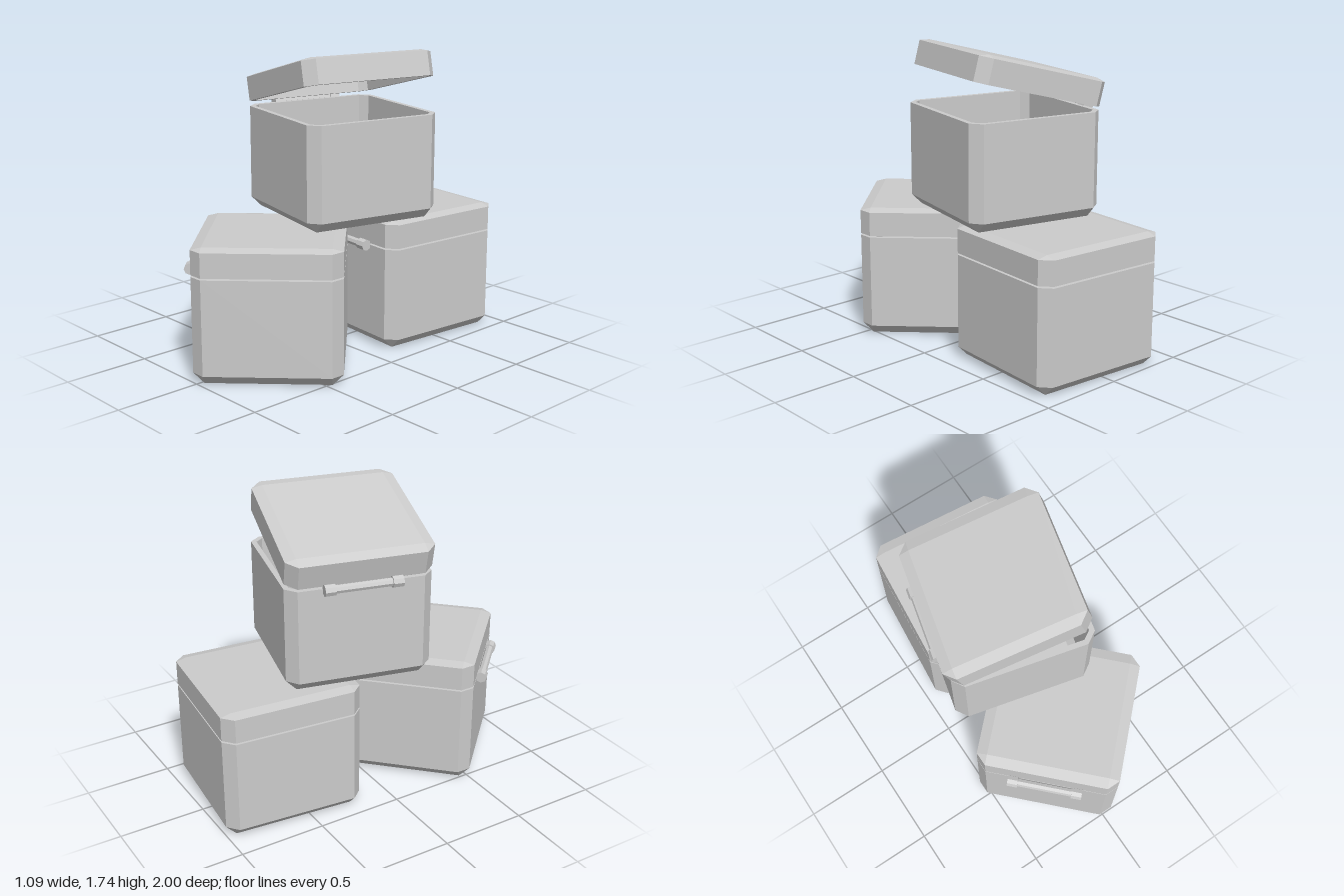
import * as THREE from 'three';

const HW = 0.415, HD = 0.41;            // half width along the hinge, half depth
const HINGE_Y = 0.605, HINGE_Z = 0.435; // hinge axis

const material = new THREE.MeshStandardMaterial({ color: 0xcccccc, flatShading: true });

// Rectangle with cut corners, as eight points
function octagon([inset, cut, y]) {
  const w = HW - inset, d = HD - inset;
  return [
    [w, -d + cut], [w, d - cut], [w - cut, d], [-w + cut, d],
    [-w, d - cut], [-w, -d + cut], [-w + cut, -d], [w - cut, -d],
  ].map(([x, z]) => new THREE.Vector3(x, y, z));
}

// Skin over a series of [inset, corner cut, height] sections, capped at both ends
function shell(sections) {
  const rings = sections.map(octagon);
  const positions = [];
  const tri = (a, b, c) => {
    if (new THREE.Triangle(a, b, c).getArea() < 1e-7) return;
    for (const p of [a, b, c]) positions.push(p.x, p.y, p.z);
  };
  for (let r = 0; r < rings.length - 1; r++) {
    for (let i = 0; i < 8; i++) {
      const j = (i + 1) % 8, low = rings[r], high = rings[r + 1];
      tri(low[i], high[i], high[j]);
      tri(low[i], high[j], low[j]);
    }
  }
  const first = rings[0], last = rings[rings.length - 1];
  for (let i = 1; i < 7; i++) {
    tri(first[0], first[i], first[i + 1]);
    tri(last[0], last[i + 1], last[i]);
  }
  const geometry = new THREE.BufferGeometry();
  geometry.setAttribute('position', new THREE.Float32BufferAttribute(positions, 3));
  geometry.computeVertexNormals();
  return geometry;
}

// Open box with bevelled base: outside, rim, then inside
const bodyGeometry = shell([
  [0.06, 0, 0], [0, 0.06, 0.06], [0, 0.06, 0.605],
  [0.03, 0.042, 0.605], [0.03, 0.042, 0.07], [0.072, 0, 0.03],
]);

// Hollow lid: inside, rim, then outside, moved so the hinge axis is its origin
const lidGeometry = shell([
  [0.03, 0.042, 0.74], [0.03, 0.042, 0.615], [0, 0.06, 0.615],
  [0, 0.06, 0.755], [0.06, 0, 0.77],
]).translate(0, -HINGE_Y, -HINGE_Z);

function part(name, geometry, parent) {
  const mesh = new THREE.Mesh(geometry, material);
  mesh.name = name;
  parent.add(mesh);
  return mesh;
}

function makeBox(name, lidAngle) {
  const box = new THREE.Group();
  box.name = name;
  part('body', bodyGeometry, box);

  const lid = part('lid', lidGeometry, box);
  lid.position.set(0, HINGE_Y, HINGE_Z);
  lid.rotation.x = lidAngle;

  // Hinge rod with a thicker knob at each end
  const hinge = new THREE.Group();
  hinge.name = 'hinge';
  hinge.position.set(0, HINGE_Y, HINGE_Z);
  box.add(hinge);
  part('hingeRod', new THREE.CylinderGeometry(0.024, 0.024, 0.36, 8).rotateZ(Math.PI / 2), hinge);
  for (const side of [-1, 1]) {
    const knob = part('hingeKnob', new THREE.CylinderGeometry(0.033, 0.033, 0.06, 8).rotateZ(Math.PI / 2), hinge);
    knob.position.x = side * 0.188;
  }
  return box;
}

export function createModel() {
  const model = new THREE.Group();
  model.name = 'stackedBoxes';
  // name, x, y, z, turn, lid opening
  const boxes = [
    ['frontBox', 0.0125, 0, 0.46, -Math.PI / 4, 0],
    ['backBox', 0.01, 0, -0.558, -0.094, 0],
    ['topBox', -0.02, 0.777, -0.095, -1.806, 0.251],
  ];
  for (const [name, x, y, z, turn, lidAngle] of boxes) {
    const box = makeBox(name, lidAngle);
    box.position.set(x, y, z);
    box.rotation.y = turn;
    model.add(box);
  }
  return model;
}
